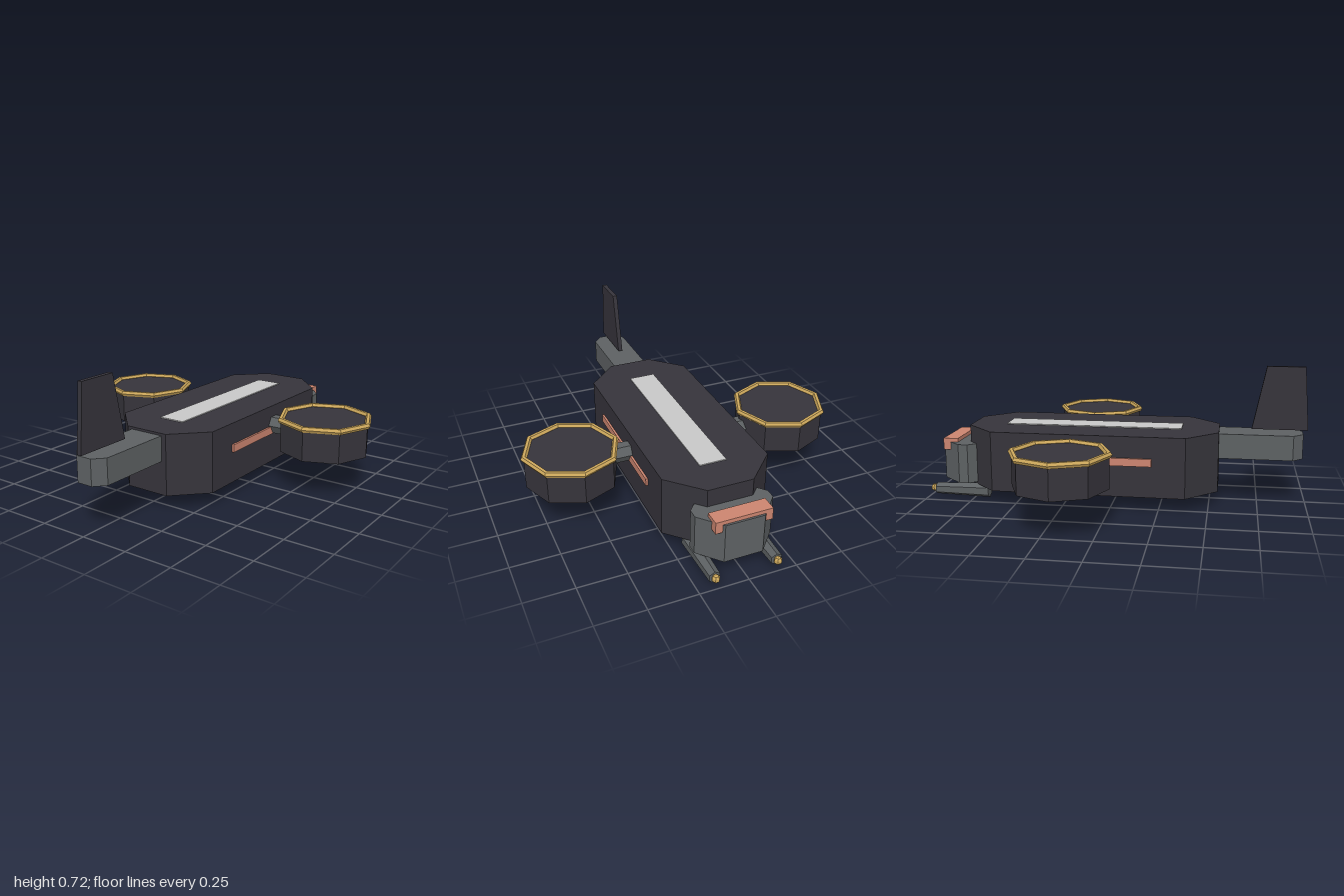
import * as THREE from 'three';

const paint = (name, color) => {
  const m = new THREE.MeshStandardMaterial({ color });
  m.name = name;
  return m;
};

// Split faces so every facet gets its own normal
const faceted = (geo) => {
  const g = geo.index ? geo.toNonIndexed() : geo;
  g.computeVertexNormals();
  return g;
};

// Upright block whose plan is a rectangle with cut corners (cx, cz)
function chamferBlock(halfX, halfZ, cx, cz, height) {
  const x = halfX - cx, z = halfZ - cz;
  const plan = [[halfX, -z], [halfX, z], [x, halfZ], [-x, halfZ],
    [-halfX, z], [-halfX, -z], [-x, -halfZ], [x, -halfZ]];
  const shape = new THREE.Shape(plan.map(([a, b]) => new THREE.Vector2(a, b)));
  return new THREE.ExtrudeGeometry(shape, { depth: height, bevelEnabled: false }).rotateX(-Math.PI / 2);
}

export function createModel() {
  const model = new THREE.Group();
  model.name = 'hoverCraft';

  const dark = paint('dark hull', 0x36343b);
  const grey = paint('grey metal', 0x5d6163);
  const coral = paint('coral glow', 0xcc8570);
  const gold = paint('gold trim', 0xcda85c);
  const pale = paint('pale stripe', 0xc8c8c8);

  const add = (name, geo, mat, x, y, z, parent = model) => {
    const mesh = new THREE.Mesh(faceted(geo), mat);
    mesh.name = name;
    mesh.position.set(x, y, z);
    parent.add(mesh);
    return mesh;
  };

  // Hull and roof stripe
  add('hull', chamferBlock(0.278, 0.6625, 0.16, 0.16, 0.315), dark, 0, 0.072, -0.1175);
  add('roofStripe', new THREE.BoxGeometry(0.14, 0.008, 0.94), pale, 0, 0.388, -0.12);

  // Tail boom and fin
  add('tailBoom', chamferBlock(0.092, 0.2875, 0.05, 0.052, 0.13), grey, 0, 0.245, 0.6875);
  const finShape = new THREE.Shape([[-1, 0.39], [-0.975, 0.72], [-0.78, 0.72], [-0.712, 0.39]]
    .map(([a, b]) => new THREE.Vector2(a, b)));
  add('tailFin', new THREE.ExtrudeGeometry(finShape, { depth: 0.024, bevelEnabled: false })
    .rotateY(Math.PI / 2), dark, -0.012, 0, 0);

  // Cabin at the nose, with its brow bar
  add('cabin', chamferBlock(0.2, 0.135, 0.1, 0.11, 0.21), grey, 0, 0.085, -0.8);
  add('browBar', new THREE.BoxGeometry(0.29, 0.062, 0.08), coral, 0, 0.284, -0.885);

  for (const side of [-1, 1]) {
    const prefix = side > 0 ? 'left' : 'right';

    // Glowing strip along the flank
    add(prefix + 'SideStrip', new THREE.BoxGeometry(0.02, 0.04, 0.66), coral, side * 0.279, 0.256, -0.115);

    // Lift pod on a hexagonal arm
    const pod = new THREE.Group();
    pod.name = prefix + 'LiftPod';
    pod.position.set(side * 0.585, 0, -0.185);
    model.add(pod);
    add('podArm', new THREE.CylinderGeometry(0.05, 0.05, 0.2, 6).rotateZ(Math.PI / 2),
      grey, -side * 0.265, 0.283, 0, pod);
    add('podBody', new THREE.CylinderGeometry(0.236, 0.236, 0.165, 8), dark, 0, 0.284, 0, pod);
    add('podRim', new THREE.TorusGeometry(0.235, 0.016, 6, 8).rotateX(Math.PI / 2), gold, 0, 0.368, 0, pod);
    add('podThruster', new THREE.CylinderGeometry(0.185, 0.185, 0.03, 8), coral, 0, 0.203, 0, pod);

    // Nose probe below the cabin
    add(prefix + 'Probe', new THREE.CylinderGeometry(0.031, 0.039, 0.295, 6).rotateX(-Math.PI / 2),
      grey, side * 0.16, 0.04, -0.8175);
    add(prefix + 'ProbeTip', new THREE.SphereGeometry(0.021, 6, 5), gold, side * 0.16, 0.043, -0.978);
  }

  return model;
}
